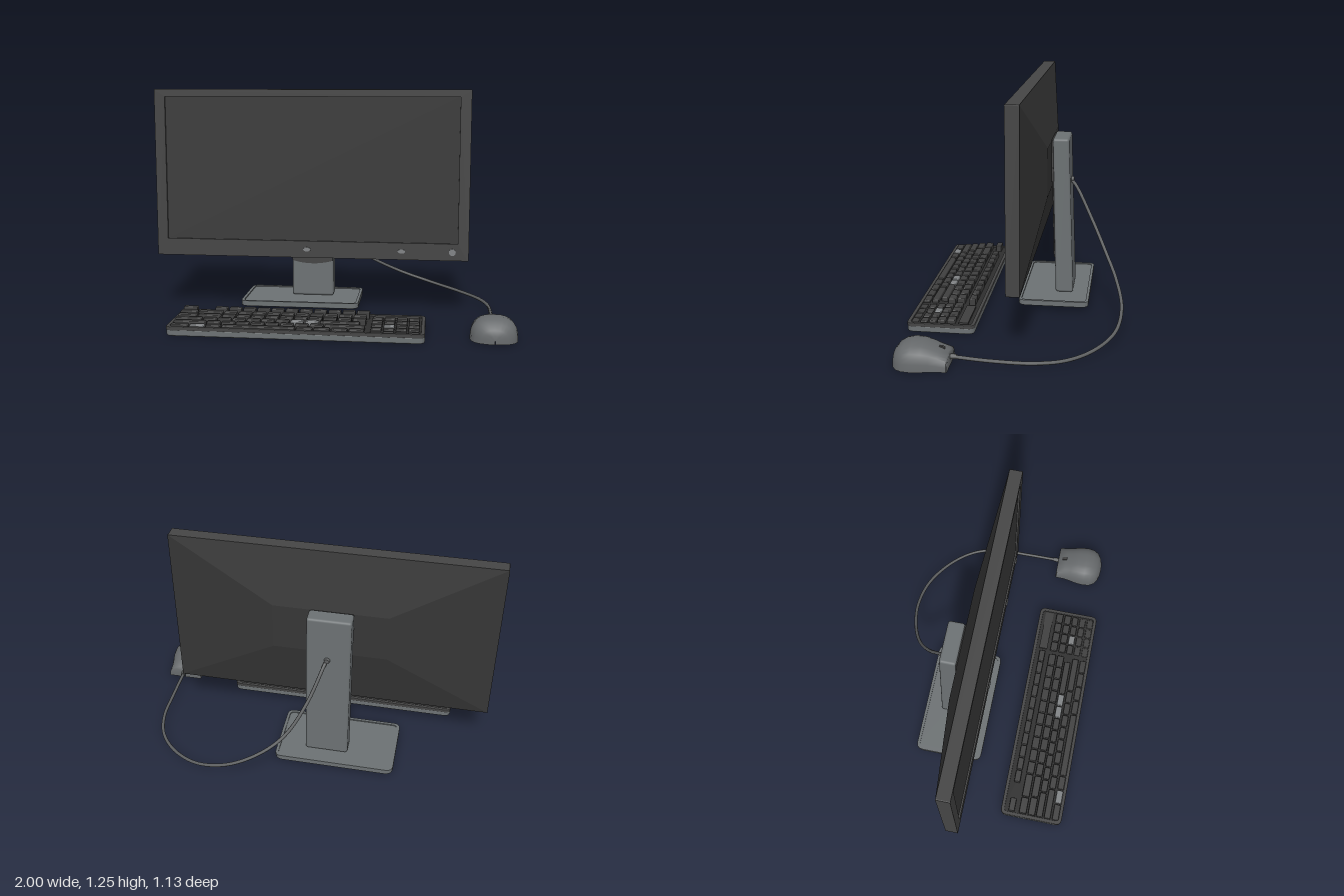
import * as THREE from 'three';
import { toCreasedNormals } from 'three/addons/utils/BufferGeometryUtils.js';
import { RoundedBoxGeometry } from 'three/addons/geometries/RoundedBoxGeometry.js';

const mat = (name, color) => Object.assign(new THREE.MeshStandardMaterial({ color }), { name });

function roundedRect(w, d, r, cls = THREE.Shape) {
  const s = new cls(), x = w / 2, y = d / 2;
  s.moveTo(-x + r, -y);
  s.lineTo(x - r, -y); s.quadraticCurveTo(x, -y, x, -y + r);
  s.lineTo(x, y - r); s.quadraticCurveTo(x, y, x - r, y);
  s.lineTo(-x + r, y); s.quadraticCurveTo(-x, y, -x, y - r);
  s.lineTo(-x, -y + r); s.quadraticCurveTo(-x, -y, -x + r, -y);
  return s;
}

// Horizontal slab with rounded corners and bevelled edges, bottom at y = 0
function slab(w, d, h, r, b, inset = 0) {
  const shape = roundedRect(w - 2 * b, d - 2 * b, r);
  if (inset) shape.holes.push(roundedRect(w - 2 * inset, d - 2 * inset, r * 0.7, THREE.Path));
  const g = new THREE.ExtrudeGeometry(shape, {
    depth: h - 2 * b, bevelEnabled: b > 0, bevelSize: b, bevelThickness: b, bevelSegments: 2, curveSegments: 5 });
  return g.translate(0, 0, b).rotateX(-Math.PI / 2);
}

export function createModel() {
  const root = new THREE.Group();
  root.name = 'desktopComputer';
  const bezel = mat('charcoal bezel', 0x454545);
  const shell = mat('dark shell', 0x363636);
  const glass = mat('screen black', 0x393939);
  const grey = mat('stand grey', 0x6c7173);
  const mouseGrey = mat('mouse grey', 0x66696b);
  const cableGrey = mat('cable grey', 0x5e6061);
  const deckDark = mat('deck dark', 0x2e2e2e);
  const keyDark = mat('key dark', 0x3f3f3f);
  const light = mat('light grey', 0x808385);

  const group = (name) => {
    const g = new THREE.Group();
    g.name = name;
    root.add(g);
    return g;
  };
  const add = (parent, name, geo, m, x = 0, y = 0, z = 0) => {
    const mesh = new THREE.Mesh(geo, m);
    mesh.name = name;
    mesh.position.set(x, y, z);
    parent.add(mesh);
    return mesh;
  };

  // Monitor: framed front, recessed screen, tapering back
  const monitor = group('monitor');
  const frame = roundedRect(1.76, 0.94, 0.006);
  const opening = new THREE.Path();
  opening.moveTo(-0.82, -0.375); opening.lineTo(-0.82, 0.43);
  opening.lineTo(0.82, 0.43); opening.lineTo(0.82, -0.375); opening.closePath();
  frame.holes.push(opening);
  add(monitor, 'bezel', new THREE.ExtrudeGeometry(frame, { depth: 0.07, bevelEnabled: false }), bezel, -0.12, 0.78, -0.07);
  add(monitor, 'screen', new THREE.BoxGeometry(1.65, 0.815, 0.05), glass, -0.12, 0.8075, -0.035);

  const back = new THREE.BoxGeometry(1.76, 0.94, 0.075);
  const bp = back.attributes.position;
  for (let i = 0; i < bp.count; i++) {
    if (bp.getZ(i) < 0) {
      bp.setX(i, Math.sign(bp.getX(i)) * 0.31);
      bp.setY(i, bp.getY(i) > 0 ? 0.15 : -0.12);
    }
  }
  back.computeVertexNormals();
  add(monitor, 'backCover', back, shell, -0.12, 0.78, -0.1075);
  add(monitor, 'mountPlate', new THREE.BoxGeometry(0.23, 0.23, 0.02), shell, -0.13, 0.815, -0.15);

  // Front controls along the lower bezel
  for (const x of [-0.14, 0.39, 0.67]) {
    const r = x > 0.5 ? 0.019 : 0.015;
    const button = add(monitor, 'frontButton', new THREE.CylinderGeometry(r, r, 0.008, 16), light, x, 0.358, 0.002);
    button.rotation.x = Math.PI / 2;
    if (x < 0.5) button.scale.set(1.4, 1, 0.8);
  }

  // Stand: leaning column on a rimmed foot
  const stand = group('stand');
  const column = new RoundedBoxGeometry(0.24, 0.89, 0.095, 3, 0.014);
  const cp = column.attributes.position;
  for (let i = 0; i < cp.count; i++) {
    cp.setZ(i, cp.getZ(i) * (1 - cp.getY(i) * 0.1) + cp.getY(i) * 0.032);
  }
  add(stand, 'column', column, grey, -0.13, 0.495, -0.21);
  const plate = new THREE.Shape();
  plate.moveTo(-0.117, 0.3); plate.lineTo(-0.117, -0.3);
  plate.quadraticCurveTo(0, -0.335, 0.117, -0.3); plate.lineTo(0.117, 0.3);
  const inlay = add(stand, 'columnInlay', new THREE.ExtrudeGeometry(plate, { depth: 0.006, bevelEnabled: false }),
    bezel, -0.13, 0.56, -0.161);
  inlay.rotation.x = 0.026;
  add(stand, 'foot', slab(0.67, 0.39, 0.026, 0.04, 0.006), grey, -0.185, 0.024, -0.175);
  add(stand, 'footRim', slab(0.67, 0.39, 0.014, 0.04, 0, 0.016), grey, -0.185, 0.042, -0.175);

  // Keyboard: rimmed case with stepped rows of keys
  const keyboard = group('keyboard');
  add(keyboard, 'case', slab(1.33, 0.36, 0.038, 0.03, 0.008), grey, -0.135, 0, 0.38);
  add(keyboard, 'caseRim', slab(1.33, 0.36, 0.02, 0.03, 0.003, 0.016), bezel, -0.135, 0.03, 0.38);
  add(keyboard, 'deck', slab(1.3, 0.33, 0.006, 0.02, 0), deckDark, -0.135, 0.037, 0.38);

  const addKey = (x, w, z, d, top, m) =>
    add(keyboard, 'key', new RoundedBoxGeometry(w - 0.008, top - 0.038, d - 0.009, 1, 0.006), m,
      x + w / 2, (top + 0.038) / 2, z);
  const rows = [
    { z: 0.262, d: 0.044, keys: [0.085, -0.09, ...Array(11).fill(0.077)] },
    { z: 0.328, d: 0.052, keys: [0.1, 0.14, ...Array(10).fill(0.077)] },
    { z: 0.38, d: 0.05, keys: [0.11, 0.13, ...Array(10).fill(0.077)] },
    { z: 0.427, d: 0.046, keys: [0.15, ...Array(7).fill(0.077), 0.077, 0.214] },
    { z: 0.474, d: 0.046, keys: [0.18, ...Array(8).fill(0.077), 0.214] },
    { z: 0.522, d: 0.046, keys: [0.1, 0.085, 0.085, 0.385, 0.09, 0.09, 0.09, 0.085] },
  ];
  rows.forEach(({ z, d, keys }, r) => {
    const top = 0.082 - r * 0.005;
    let x = -0.782;
    keys.forEach((w, k) => {
      const pale = (r === 3 && (k === 7 || k === 8)) || (r === 5 && k === 1);
      if (w > 0) addKey(x, w, z, d, top, pale ? light : keyDark);
      x += Math.abs(w);
    });
    // Number pad
    if (r > 0) {
      for (let k = 0; k < 4; k++) {
        addKey(0.25 + k * 0.064, 0.064, z, d, top - 0.01, r === 3 && k === 1 ? light : keyDark);
      }
    }
  });
  add(keyboard, 'statusPanel', new THREE.BoxGeometry(0.24, 0.012, 0.05), keyDark, 0.38, 0.047, 0.262);

  // Mouse: domed cross-sections [z, half width, height]
  const mouse = group('mouse');
  const stations = [[0.25, 0.002, 0.03], [0.25, 0.095, 0.062], [0.255, 0.102, 0.07], [0.3, 0.102, 0.088],
    [0.34, 0.108, 0.105], [0.38, 0.117, 0.117], [0.43, 0.122, 0.12], [0.47, 0.117, 0.112],
    [0.5, 0.1, 0.095], [0.52, 0.07, 0.07], [0.53, 0.03, 0.045], [0.532, 0.001, 0.02]];
  const n = 28, pos = [], idx = [];
  stations.forEach(([z, w, h], i) => {
    for (let j = 0; j < n; j++) {
      const a = (j / n) * Math.PI * 2, c = Math.cos(a), s = Math.sin(a);
      pos.push(w * Math.sign(c) * Math.abs(c) ** 0.75, s > 0 ? h * s ** 0.75 : 0, z);
      if (i === stations.length - 1) continue;
      const p = i * n + j, q = i * n + (j + 1) % n;
      idx.push(p, q, p + n, q, q + n, p + n);
    }
  });
  const body = new THREE.BufferGeometry();
  body.setAttribute('position', new THREE.Float32BufferAttribute(pos, 3));
  body.setIndex(idx);
  add(mouse, 'mouseBody', toCreasedNormals(body, 0.8), mouseGrey, 0.877, 0.002, 0);
  const wheel = add(mouse, 'scrollWheel', new THREE.CylinderGeometry(0.022, 0.022, 0.016, 16), bezel, 0.877, 0.072, 0.295);
  wheel.rotation.z = Math.PI / 2;
  const relief = add(mouse, 'cableRelief', new THREE.CylinderGeometry(0.015, 0.012, 0.04, 12), cableGrey, 0.88, 0.042, 0.24);
  relief.rotation.x = Math.PI / 2;

  // Cable from the column to the mouse
  const path = new THREE.CatmullRomCurve3([
    [-0.125, 0.695, -0.24], [-0.11, 0.66, -0.275], [-0.04, 0.48, -0.375], [0.06, 0.315, -0.462],
    [0.18, 0.215, -0.52], [0.36, 0.125, -0.557], [0.55, 0.067, -0.53], [0.72, 0.037, -0.43],
    [0.83, 0.027, -0.3], [0.878, 0.027, -0.15], [0.884, 0.03, 0.05], [0.88, 0.042, 0.26],
  ].map((p) => new THREE.Vector3(...p)));
  add(mouse, 'cable', new THREE.TubeGeometry(path, 90, 0.0095, 8), cableGrey);
  const socket = add(mouse, 'cableSocket', new THREE.CylinderGeometry(0.014, 0.018, 0.02, 12), cableGrey, -0.125, 0.69, -0.255);
  socket.rotation.x = -Math.PI / 2;

  return root;
}
